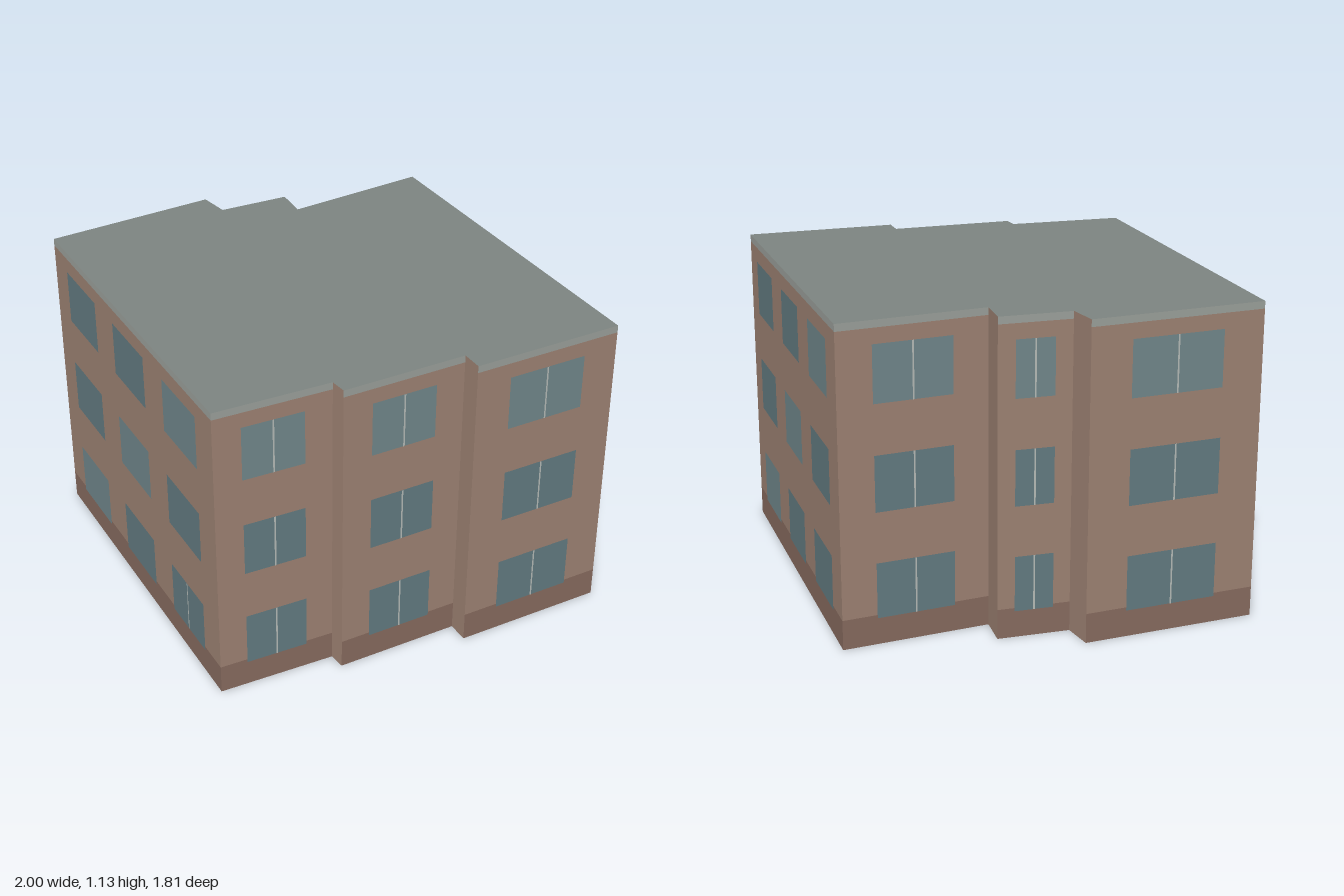
import * as THREE from 'three';

const HEIGHT = 1.133, PLINTH_TOP = 0.107, BAND_BOTTOM = 1.107;
const FLOORS = [[0.096, 0.295], [0.476, 0.675], [0.852, 1.053]];

// Footprint corners [x, z], counter-clockwise seen from above, starting at the front wall
const FOOTPRINT = [
  [-1, 0.24], [0.153, 0.903], [0.378, 0.548], [0.433, 0.572], [0.658, 0.18], [0.725, 0.218],
  [1, -0.26], [-0.151, -0.905], [-0.376, -0.43], [-0.476, -0.495], [-0.612, -0.278], [-0.718, -0.318],
];

// Kind of wall starting at each corner
const WIDE = 'wide', BAY = 'bay', RETURN = 'return';
const KINDS = [WIDE, BAY, RETURN, BAY, RETURN, BAY, WIDE, BAY, RETURN, BAY, RETURN, BAY];

// Window extents as fractions of the wall length
const COLUMNS = {
  [WIDE]: [[0.09, 0.285], [0.405, 0.6], [0.716, 0.91]],
  [BAY]: [[0.235, 0.765]],
  [RETURN]: [],
};

const material = (color) => new THREE.MeshStandardMaterial({ color, side: THREE.DoubleSide });

export function createModel() {
  const model = new THREE.Group();
  model.name = 'apartmentBlock';

  const brick = material(0x9c8172);
  const plinth = material(0x866a5e);
  const band = material(0x9a9f9a);
  const glass = material(0x627a80);
  const paleGlass = material(0x70868a);
  const divider = material(0xb4bab6);
  const roofGrey = material(0x7c8480);

  FOOTPRINT.forEach(([x0, z0], i) => {
    const [x1, z1] = FOOTPRINT[(i + 1) % FOOTPRINT.length];
    const length = Math.hypot(x1 - x0, z1 - z0);
    const kind = KINDS[i];

    // Each wall group has x along the wall, y up and z pointing outwards
    const wall = new THREE.Group();
    wall.name = kind + 'Wall';
    wall.position.set(x0, 0, z0);
    wall.rotation.y = Math.atan2(z0 - z1, x1 - x0);
    model.add(wall);

    const panel = (name, mat, left, right, bottom, top, out = 0) => {
      const mesh = new THREE.Mesh(new THREE.PlaneGeometry(right - left, top - bottom), mat);
      mesh.name = name;
      mesh.position.set((left + right) / 2, (bottom + top) / 2, out);
      wall.add(mesh);
    };

    // The short returns are plain brick from ground to roof
    if (kind === RETURN) {
      panel('brickwork', brick, 0, length, 0, HEIGHT);
      return;
    }
    panel('plinth', plinth, 0, length, 0, PLINTH_TOP);
    panel('brickwork', brick, 0, length, PLINTH_TOP, BAND_BOTTOM);
    panel('roofBand', band, 0, length, BAND_BOTTOM, HEIGHT);

    // Windows, with a central divider in the bays and at the entrance
    COLUMNS[kind].forEach(([u0, u1], column) => {
      FLOORS.forEach(([bottom, top], floor) => {
        const left = u0 * length, right = u1 * length, middle = (left + right) / 2;
        const pale = kind === WIDE ? floor === column : floor === 2;
        panel('window', pale ? paleGlass : glass, left, right, bottom, top, 0.002);
        const entrance = i === 0 && floor === 0 && column === 2;
        if (kind === BAY || entrance) {
          panel('windowDivider', divider, middle - 0.003, middle + 0.003, bottom, top, 0.003);
        }
      });
    });
  });

  // Flat roof; the underside of the building is open
  const outline = new THREE.Shape(FOOTPRINT.map(([x, z]) => new THREE.Vector2(x, -z)));
  const roof = new THREE.Mesh(new THREE.ShapeGeometry(outline).rotateX(-Math.PI / 2), roofGrey);
  roof.name = 'roof';
  roof.position.y = HEIGHT;
  model.add(roof);

  return model;
}
